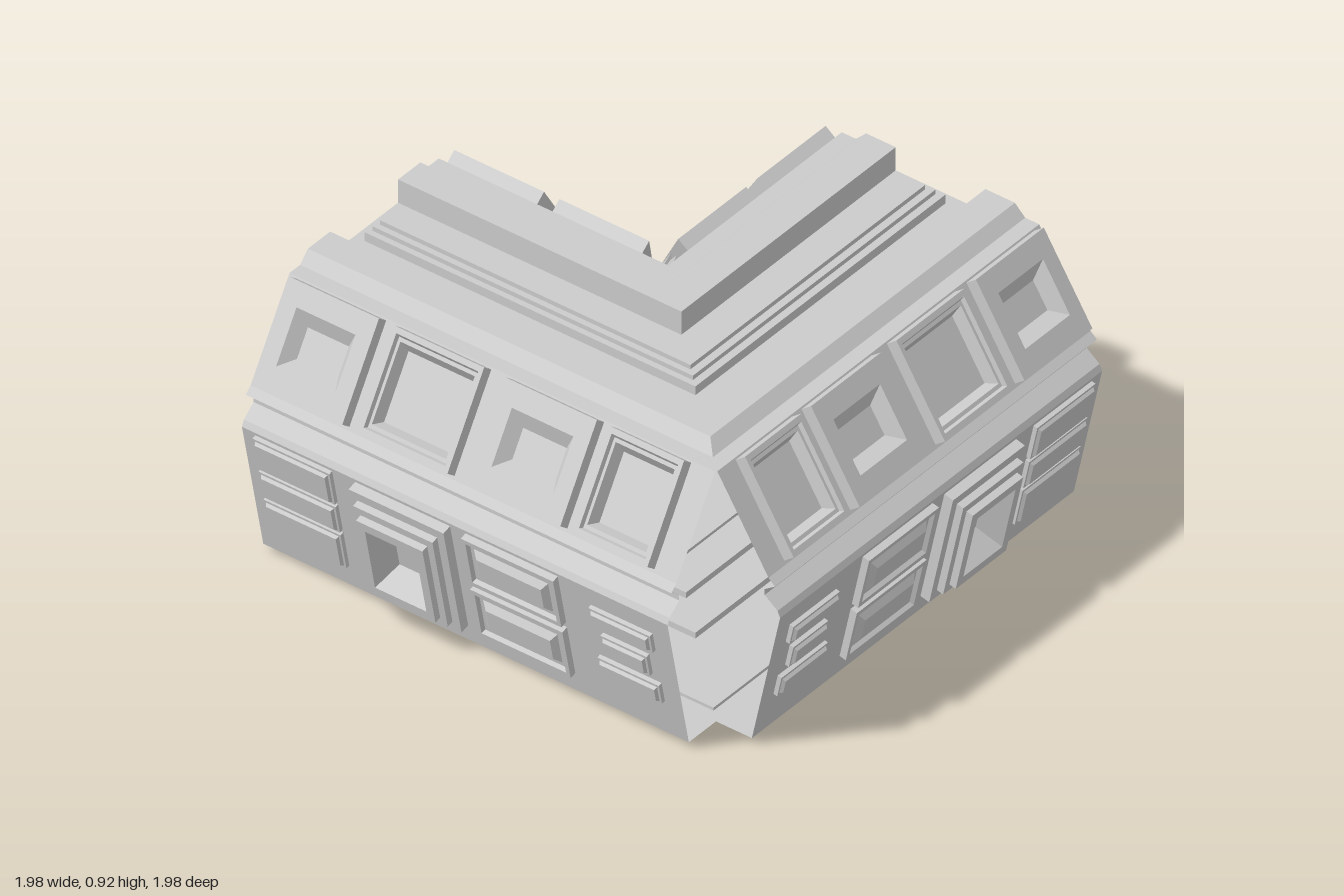
import * as THREE from 'three';

// Corner corridor: one arm is described as (u along the arm, y up, h outward from
// the arm's centre line), then mirrored over the centre line and the corner diagonal.
const CENTRE = 0.3, END = 0.98, START = -0.68, SHEAR = 0.06;
const material = new THREE.MeshStandardMaterial({ color: 0xcccccc, side: THREE.DoubleSide, flatShading: true });

// Bends a point onto the model: mitre at the corner, slightly acute angle between arms.
function place([u, y, h], side, mirrored) {
  const z = CENTRE + side * h;
  const x = Math.max(u, START, -z);
  const [a, b] = mirrored ? [-z, -x] : [x, z];
  return new THREE.Vector3(a - SHEAR * b, y, b - SHEAR * a);
}

// Builds one mesh from triangles for the given side and arm.
function buildMesh(name, triangles, side, mirrored) {
  const flip = (side < 0) !== mirrored;
  const points = [];
  for (const t of triangles) {
    const [a, b, c] = t.map((p) => place(p, side, mirrored));
    const area = b.clone().sub(a).cross(c.clone().sub(a)).length();
    if (area > 1e-7) points.push(...(flip ? [a, c, b] : [a, b, c]));
  }
  const geometry = new THREE.BufferGeometry().setFromPoints(points);
  geometry.computeVertexNormals();
  const mesh = new THREE.Mesh(geometry, material);
  mesh.name = name;
  return mesh;
}

const quad = (a, b, c, d) => [[a, b, c], [a, c, d]];

// Sweeps a cross-section of [h, y] points along the arm.
function strip(profile, end = END) {
  const out = [];
  for (let i = 0; i + 1 < profile.length; i++) {
    const [h0, y0] = profile[i], [h1, y1] = profile[i + 1];
    out.push(...quad([-2, y0, h0], [end, y0, h0], [end, y1, h1], [-2, y1, h1]));
  }
  return out;
}

// Sloping wall plane: maps (u, y, outward offset) to arm coordinates.
function plane([h0, y0], [h1, y1]) {
  const dh = h1 - h0, dy = y1 - y0, len = Math.hypot(dh, dy);
  return (u, y, n) => [u, y - (n * dh) / len, h0 + (dh * (y - y0)) / dy + (n * dy) / len];
}

// Stepped panel: concentric rectangles given as [inset, offset], closed in the middle.
function panel(at, [u0, u1, y0, y1], steps) {
  const rings = steps.map(([i, n]) => [
    at(u0 + i, y0 + i, n), at(u1 - i, y0 + i, n), at(u1 - i, y1 - i, n), at(u0 + i, y1 - i, n)]);
  const out = [];
  for (let r = 0; r + 1 < rings.length; r++)
    for (let k = 0; k < 4; k++) {
      const j = (k + 1) % 4;
      out.push(...quad(rings[r][k], rings[r][j], rings[r + 1][j], rings[r + 1][k]));
    }
  out.push(...quad(...rings[rings.length - 1]));
  return out;
}

// Flat wall sheet with a hole behind every panel.
function sheet(at, left, y0, y1, holes) {
  const loop = (a, b, c, d) => [[a, c], [b, c], [b, d], [a, d]].map((p) => new THREE.Vector2(...p));
  const shape = new THREE.Shape(loop(left, END, y0, y1));
  for (const h of holes) shape.holes.push(new THREE.Path(loop(...h)));
  const g = new THREE.ShapeGeometry(shape), p = g.attributes.position, out = [];
  for (let i = 0; i < g.index.count; i += 3)
    out.push([0, 1, 2].map((k) => {
      const v = g.index.getX(i + k);
      return at(p.getX(v), p.getY(v), 0);
    }));
  return out;
}

// Panel cross-sections
const dish = [[0, 0], [0, 0.045], [0.015, 0.045], [0.02, 0.03], [0.03, 0.03], [0.045, -0.01]];
const hatch = [[0, 0], [0, 0.045], [0.06, 0.045], [0.095, 0.0]];
const plate = [[0, 0], [0, 0.015], [0.008, 0.015], [0.014, 0.025]];
const tray = [[0, 0], [0, 0.025], [0.015, 0.025], [0.022, 0.012], [0.035, 0.012], [0.055, 0.03]];
const port = [[0, 0], [0, 0.035], [0.03, 0.035], [0.03, 0.06], [0.055, 0.06], [0.055, 0.085],
  [0.085, 0.085], [0.125, 0.0]];

// Layout: [u0, u1, y0, y1] of each panel
const upperPanels = [
  ['upperWindow', [-0.59, -0.3, 0.61, 0.88], dish], ['upperHatch', [-0.25, 0.11, 0.61, 0.88], hatch],
  ['upperWindow', [0.19, 0.54, 0.61, 0.88], dish], ['upperHatch', [0.6, 0.95, 0.61, 0.88], hatch]];
const lowerPanels = [
  ['ventBar', [-0.61, -0.37, 0.35, 0.415], plate], ['ventBar', [-0.58, -0.4, 0.245, 0.32], plate],
  ['ventBar', [-0.61, -0.37, 0.15, 0.22], plate],
  ['tray', [-0.25, 0.11, 0.29, 0.47], tray], ['tray', [-0.25, 0.11, 0.09, 0.27], tray],
  ['steppedPort', [0.17, 0.54, 0.08, 0.47], port],
  ['sidePlate', [0.63, 0.93, 0.35, 0.47], plate], ['sidePlate', [0.63, 0.93, 0.24, 0.34], plate],
  ['sidePlate', [0.63, 0.93, 0.1, 0.23], plate]];

// Cross-sections shared by both sides of an arm
const trims = {
  floor: [[0, 0.02], [0.05, 0.02], [0.05, 0], [0.1, 0], [0.1, 0.02], [0.22, 0.02], [0.22, 0.03],
    [0.34, 0.03], [0.34, 0.02], [0.38, 0.02], [0.52, 0.02]],
  belt: [[0.63, 0.48], [0.62, 0.5], [0.57, 0.535], [0.57, 0.555], [0.61, 0.58], [0.585, 0.6]],
  roof: [[0.385, 0.885], [0.38, 0.885], [0.33, 0.885], [0.29, 0.92], [0.175, 0.92], [0.175, 0.84], [0, 0.84]],
};
const roofRib = [[0.05, 0.84], [0.05, 0.87], [0.03, 0.87], [0.03, 0.855], [0.01, 0.855], [0.01, 0.87], [0, 0.87]];

export function createModel() {
  const root = new THREE.Group();
  root.name = 'corridorCorner';
  const lower = plane([0.52, 0.02], [0.63, 0.48]);
  const upper = plane([0.585, 0.6], [0.385, 0.885]);

  for (const mirrored of [false, true]) {
    const arm = new THREE.Group();
    arm.name = mirrored ? 'backArm' : 'sideArm';
    for (const side of [1, -1]) {
      const inner = side < 0;
      const add = (name, triangles) =>
        arm.add(buildMesh((inner ? 'inner_' : 'outer_') + name, triangles, side, mirrored));
      for (const [name, profile] of Object.entries(trims)) add(name, strip(profile));
      add('roofRib', strip(roofRib, 0.94));

      // Walls: the inner ones keep only the panels beyond the mitre
      const walls = [['lowerWall', lower, 0.02, 0.48, lowerPanels], ['upperWall', upper, 0.6, 0.885, upperPanels]];
      for (const [name, at, y0, y1, list] of walls) {
        const kept = list.filter(([, rect]) => !inner || rect[1] > 0.4);
        add(name, sheet(at, inner ? 0 : START, y0, y1, kept.map(([, rect]) => rect)));
        for (const [part, rect, steps] of kept) add(part, panel(at, rect, steps));
      }
    }
    root.add(arm);
  }
  return root;
}
